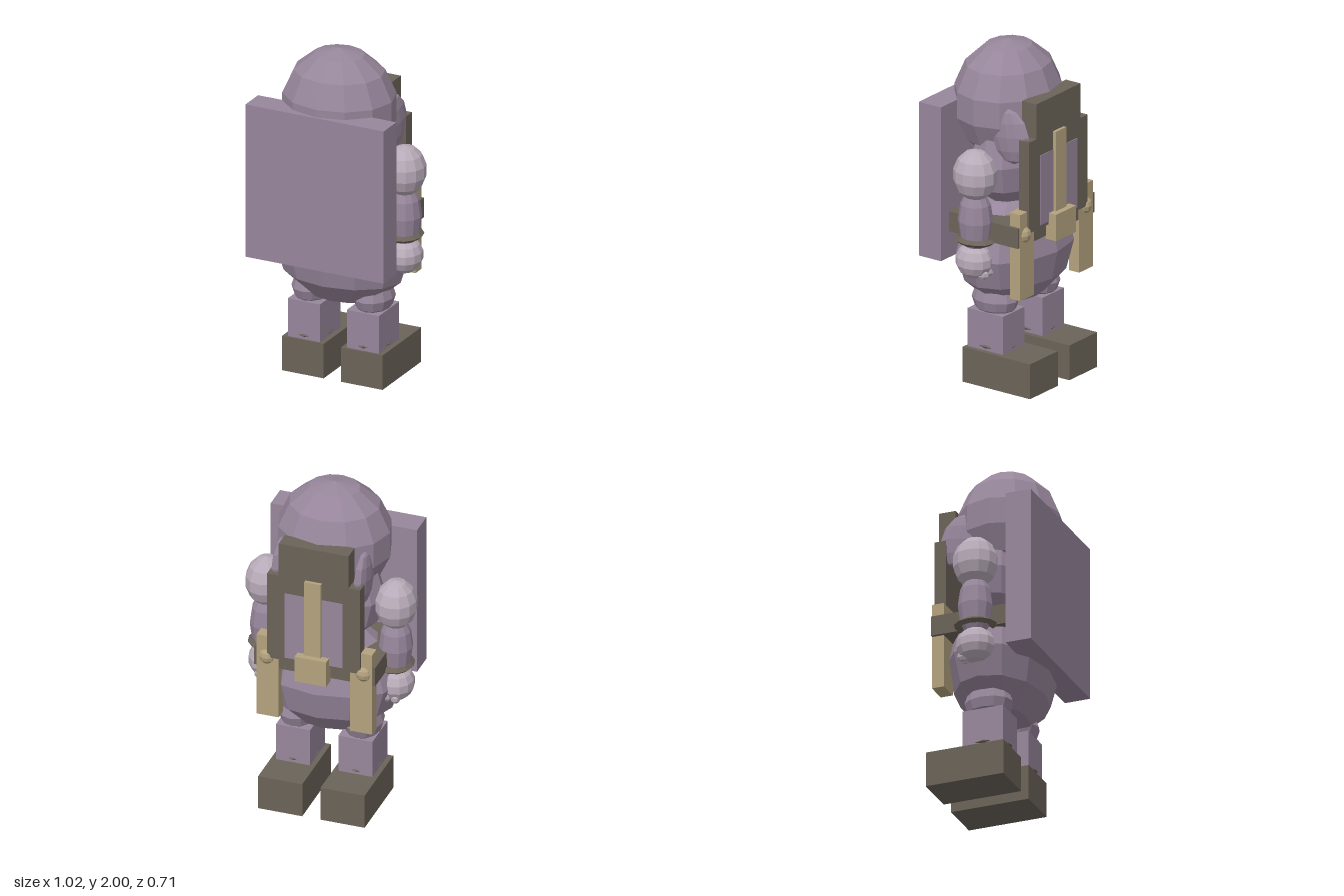
import * as THREE from 'three';

const paint = (name, color) => {
  const m = new THREE.MeshStandardMaterial({ color });
  m.name = name;
  return m;
};

export function createModel() {
  const model = new THREE.Group();
  model.name = 'figure';
  const purple = paint('dusty purple', 0x97869b);
  const pale = paint('pale lilac', 0xb8abb9);
  const brown = paint('dark brown', 0x6b6358);
  const tan = paint('tan', 0xb3a27e);

  // Adds a faceted part
  function add(name, geometry, material, parent = model) {
    const flat = geometry.index ? geometry.toNonIndexed() : geometry;
    flat.computeVertexNormals();
    const mesh = new THREE.Mesh(flat, material);
    mesh.name = name;
    parent.add(mesh);
    return mesh;
  }

  // Box given by its limits on each axis
  function box(name, material, [x0, x1], [y0, y1], [z0, z1], parent) {
    const mesh = add(name, new THREE.BoxGeometry(x1 - x0, y1 - y0, z1 - z0), material, parent);
    mesh.position.set((x0 + x1) / 2, (y0 + y1) / 2, (z0 + z1) / 2);
    return mesh;
  }

  // Faceted ellipsoid
  function ball(name, material, centre, radii, parent, rows = 6, sides = 12) {
    const mesh = add(name, new THREE.SphereGeometry(1, sides, rows).scale(...radii), material, parent);
    mesh.position.set(...centre);
    return mesh;
  }

  // Flat oval ring lying level
  function ring(name, centre, rx, rz, tube, height, parent) {
    const g = new THREE.TorusGeometry(1 - tube, tube, 4, 12).rotateX(Math.PI / 2);
    g.scale(rx, height / tube, rz);
    const mesh = add(name, g, brown, parent);
    mesh.position.set(...centre);
    return mesh;
  }

  // Head and body
  ball('head', purple, [0, 1.646, 0.05], [0.341, 0.354, 0.303], model, 7);
  ball('chest', purple, [0, 1.32, 0], [0.32, 0.31, 0.215]);
  ball('belly', purple, [0, 0.785, 0], [0.42, 0.345, 0.295]);

  // Large slab
  box('slab', purple, [-0.44, 0.44], [0.75, 1.68], [0.2, 0.355]);

  // Belt and buckle
  box('belt', brown, [-0.365, 0.365], [0.91, 1.03], [-0.285, 0.2]);
  box('buckle', tan, [-0.095, 0.095], [0.89, 1.05], [-0.355, -0.28]);

  // Chest panel: stepped plate, inset face and central strip
  box('panelTop', brown, [-0.21, 0.21], [1.53, 1.74], [-0.3, -0.2]);
  box('panel', brown, [-0.28, 0.28], [0.98, 1.53], [-0.3, -0.23]);
  box('panelInset', purple, [-0.175, 0.175], [1.0, 1.42], [-0.304, -0.297]);
  box('panelStrip', tan, [-0.05, 0.05], [1.0, 1.53], [-0.32, -0.295]);

  // Paired parts; every part is symmetric about its own centre
  for (const s of [1, -1]) {
    const side = new THREE.Group();
    side.name = s > 0 ? 'leftSide' : 'rightSide';
    model.add(side);
    const span = (a, b) => (s > 0 ? [a, b] : [-b, -a]);

    // Flat oval lobe beside the panel
    ball('lobe', purple, [s * 0.247, 1.525, -0.147], [0.042, 0.165, 0.13], side)
      .rotation.x = 0.15;

    // Arm
    const arm = new THREE.Group();
    arm.name = 'arm';
    side.add(arm);
    ball('shoulder', pale, [s * 0.39, 1.305, -0.005], [0.122, 0.152, 0.132], arm, 7);
    ball('forearm', purple, [s * 0.388, 1.03, -0.005], [0.098, 0.2, 0.102], arm);
    ring('bracelet', [s * 0.385, 0.915, -0.005], 0.11, 0.127, 0.2, 0.02, arm);
    ball('hand', pale, [s * 0.395, 0.79, -0.002], [0.1, 0.105, 0.115], arm, 7);
    ball('thumb', pale, [s * 0.36, 0.735, -0.07], [0.03, 0.04, 0.04], arm, 5, 8);
    ball('finger', pale, [s * 0.41, 0.725, -0.065], [0.028, 0.035, 0.045], arm, 5, 8);

    // Pouch and its stud on the belt
    box('pouch', tan, span(0.215, 0.347), [0.59, 1.11], [-0.288, -0.215], side);
    ball('stud', tan, [s * 0.29, 0.975, -0.272], [0.05, 0.05, 0.042], side, 6, 10);

    // Leg and shoe
    ball('thigh', purple, [s * 0.195, 0.505, -0.003], [0.115, 0.11, 0.145], side);
    box('shin', purple, span(0.085, 0.29), [0.2, 0.44], [-0.125, 0.123], side);
    ring('ankleBand', [s * 0.188, 0.233, 0], 0.113, 0.134, 0.13, 0.015, side);
    box('shoe', brown, span(0.055, 0.32), [0, 0.21], [-0.337, 0.137], side);
  }
  return model;
}
